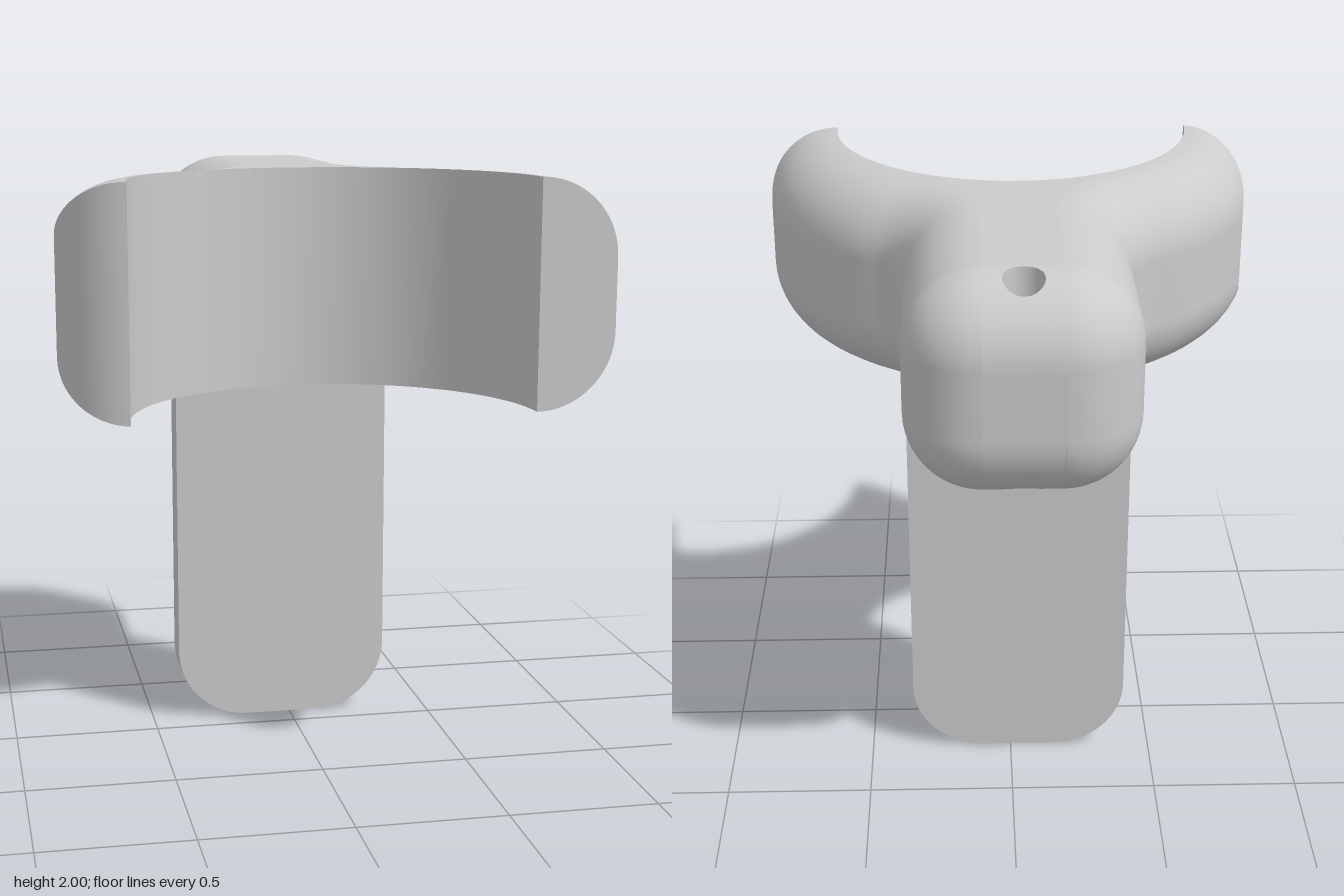
import * as THREE from 'three';

const AXIS = -0.028;             // x of the symmetry axis of the body
const Y0 = 1.27, Y1 = 2;         // body bottom and top
const CZ = 0.84, R = 0.887;      // centre and outer radius of the clamp arc
const F = 0.25, INNER = R - F;   // fillet radius, inner radius of the clamp
const W = 0.378, BACK = -0.84;   // half width and back of the block
const HOLE = { z: -0.67, r: 0.065 };

const NECK_X = W + F, NECK_Z = CZ - Math.sqrt((R + F) ** 2 - NECK_X ** 2);
const NECK_ANGLE = Math.atan2(CZ - NECK_Z, NECK_X);
const END_ANGLE = Math.asin(F / INNER); // direction of the rounded tip's centre
const ARC = 28;

const material = new THREE.MeshStandardMaterial({ color: 0xcccccc });

// Surface through points p(i, j); faces look along i x j
function grid(nu, nv, p, flip = false) {
  const pos = [], index = [];
  for (let j = 0; j <= nv; j++) for (let i = 0; i <= nu; i++) pos.push(...p(i, j));
  for (let j = 0; j < nv; j++) for (let i = 0; i < nu; i++) {
    const a = j * (nu + 1) + i, b = a + 1, c = b + nu + 1, d = c - 1;
    if (flip) index.push(a, c, b, a, d, c);
    else index.push(a, b, c, a, c, d);
  }
  const g = new THREE.BufferGeometry();
  g.setAttribute('position', new THREE.Float32BufferAttribute(pos, 3));
  g.setIndex(index);
  g.computeVertexNormals();
  return g;
}

// Points of an arc in plan: angle runs from +x towards -z
function arc(cx, cz, r, from, to, n, first = 0) {
  const pts = [];
  for (let i = first; i <= n; i++) {
    const t = from + (to - from) * i / n;
    pts.push([cx + r * Math.cos(t), cz - r * Math.sin(t)]);
  }
  return pts;
}

// Angle at which the rounded tip cuts the clamp arc inset by d
function tipAngle(d) {
  const p = R - d;
  const c = (p * p + INNER * INNER - F * F) / (2 * p * INNER);
  return Math.max(0, END_ANGLE - Math.acos(Math.min(1, c)));
}

// Half of the plan outline inset by d: clamp arc, neck, block corner
function halfOutline(d, start) {
  return [
    ...arc(0, CZ, R - d, start, NECK_ANGLE, ARC),
    ...arc(NECK_X, NECK_Z, F + d, NECK_ANGLE + Math.PI, Math.PI, 12, 1),
    ...arc(W - F, BACK + F, F - d, 0, Math.PI / 2, 12),
  ];
}

const inset = a => F * (1 - Math.cos(a));
const topY = a => Y1 - F + F * Math.sin(a);
const bottomY = a => Y0 + F - F * Math.sin(a);

function buildBody() {
  const body = new THREE.Group();
  body.name = 'clampBody';
  body.position.x = AXIS;
  const add = (name, geometry) => {
    const mesh = new THREE.Mesh(geometry, material);
    mesh.name = name;
    body.add(mesh);
  };

  // Outer skin with rounded upper and lower edges
  const STEPS = 12, levels = [];
  for (let k = STEPS; k >= 0; k--) levels.push([k, bottomY]);
  for (let k = 0; k <= STEPS; k++) levels.push([k, topY]);
  for (const side of [1, -1]) {
    const rows = levels.map(([k, y]) => {
      const a = k / STEPS * Math.PI / 2, d = inset(a);
      return halfOutline(d, side > 0 ? 0 : tipAngle(d)).map(([x, z]) => [side * x, y(a), z]);
    });
    add(side > 0 ? 'leftSkin' : 'rightSkin',
      grid(rows[0].length - 1, rows.length - 1, (i, j) => rows[j][i], side < 0));

    // Arm ends: one flat, one rounded in plan
    add(side > 0 ? 'leftArmEnd' : 'rightArmEnd', grid(24, 1, (i, j) => {
      const a = (1 - i / 24) * Math.PI / 2, d = inset(a);
      const t = side > 0 ? 0 : tipAngle(d);
      return [side * (R - d) * Math.cos(t), j ? topY(a) : bottomY(a), CZ - (R - d) * Math.sin(t)];
    }, side < 0));
  }

  // Inner wall of the clamp
  const wall = arc(0, CZ, INNER, Math.PI, 0, 64);
  add('clampInnerWall', grid(64, 1, (i, j) => [wall[i][0], j ? Y1 : Y0, wall[i][1]]));

  // Flat top and bottom
  const half = halfOutline(F, 0).slice(ARC);
  const cap = [
    ...half,
    ...half.map(([x, z]) => [-x, z]).reverse(),
    ...arc(0, CZ, INNER, Math.PI - NECK_ANGLE, NECK_ANGLE, 32).slice(1, -1),
  ];
  const capGeometry = s => new THREE.ShapeGeometry(
    new THREE.Shape(cap.map(([x, z]) => new THREE.Vector2(x, s * z)))).rotateX(s * Math.PI / 2);
  add('topFace', capGeometry(-1).translate(0, Y1, 0));
  add('bottomFace', capGeometry(1).translate(0, Y0, 0));

  // Flat back
  const bw = W - F;
  add('backFace', grid(1, 1, (i, j) => [i ? -bw : bw, j ? Y1 - F : Y0 + F, BACK]));

  // Rounded back edges, each pierced by the hole
  const N = 16, RINGS = 8, corners = [[1, -1], [1, 1], [-1, 1], [-1, -1], [1, -1]];
  const rim = [];
  for (let i = 0; i <= 4 * N; i++) {
    const s = Math.min(3, Math.floor(i / N)), t = i / N - s;
    const [u, v] = [0, 1].map(k => corners[s][k] * (1 - t) + corners[s + 1][k] * t);
    const x = u * bw, a = (1 - v) * Math.PI / 4;
    const ang = Math.atan2(BACK + F - F * Math.sin(a) - HOLE.z, x);
    const hz = HOLE.z + HOLE.r * Math.sin(ang);
    rim.push({ x, a, hx: HOLE.r * Math.cos(ang), hz, ha: Math.asin((BACK + F - hz) / F) });
  }
  for (const y of [topY, bottomY]) {
    add(y === topY ? 'upperBackEdge' : 'lowerBackEdge', grid(4 * N, RINGS, (i, j) => {
      const p = rim[i], t = j / RINGS;
      const a = p.ha + (p.a - p.ha) * t;
      return [p.hx + (p.x - p.hx) * t, y(a), BACK + F - F * Math.sin(a)].map((c, k) =>
        k === 1 ? y(Math.PI / 2 - a) : c);
    }, y === bottomY));
  }
  add('holeWall', grid(4 * N, 1, (i, j) => {
    const p = rim[i];
    return [p.hx, (j ? topY : bottomY)(Math.PI / 2 - p.ha), p.hz];
  }));
  return body;
}

// Flat tongue with rounded lower corners
function buildTongue() {
  const r = 0.25, s = new THREE.Shape();
  s.moveTo(W, Y0 + F);
  s.lineTo(-W, Y0 + F);
  s.lineTo(-W, r);
  s.absarc(-W + r, r, r, Math.PI, 1.5 * Math.PI, false);
  s.absarc(W - r, r, r, 1.5 * Math.PI, 2 * Math.PI, false);
  s.closePath();
  const g = new THREE.ExtrudeGeometry(s, { depth: 0.125, bevelEnabled: false, curveSegments: 12 });
  const mesh = new THREE.Mesh(g, material);
  mesh.name = 'tongue';
  mesh.position.set(AXIS, 0, -0.228);
  return mesh;
}

export function createModel() {
  const model = new THREE.Group();
  model.name = 'clampBracket';
  model.add(buildBody(), buildTongue());
  return model;
}
